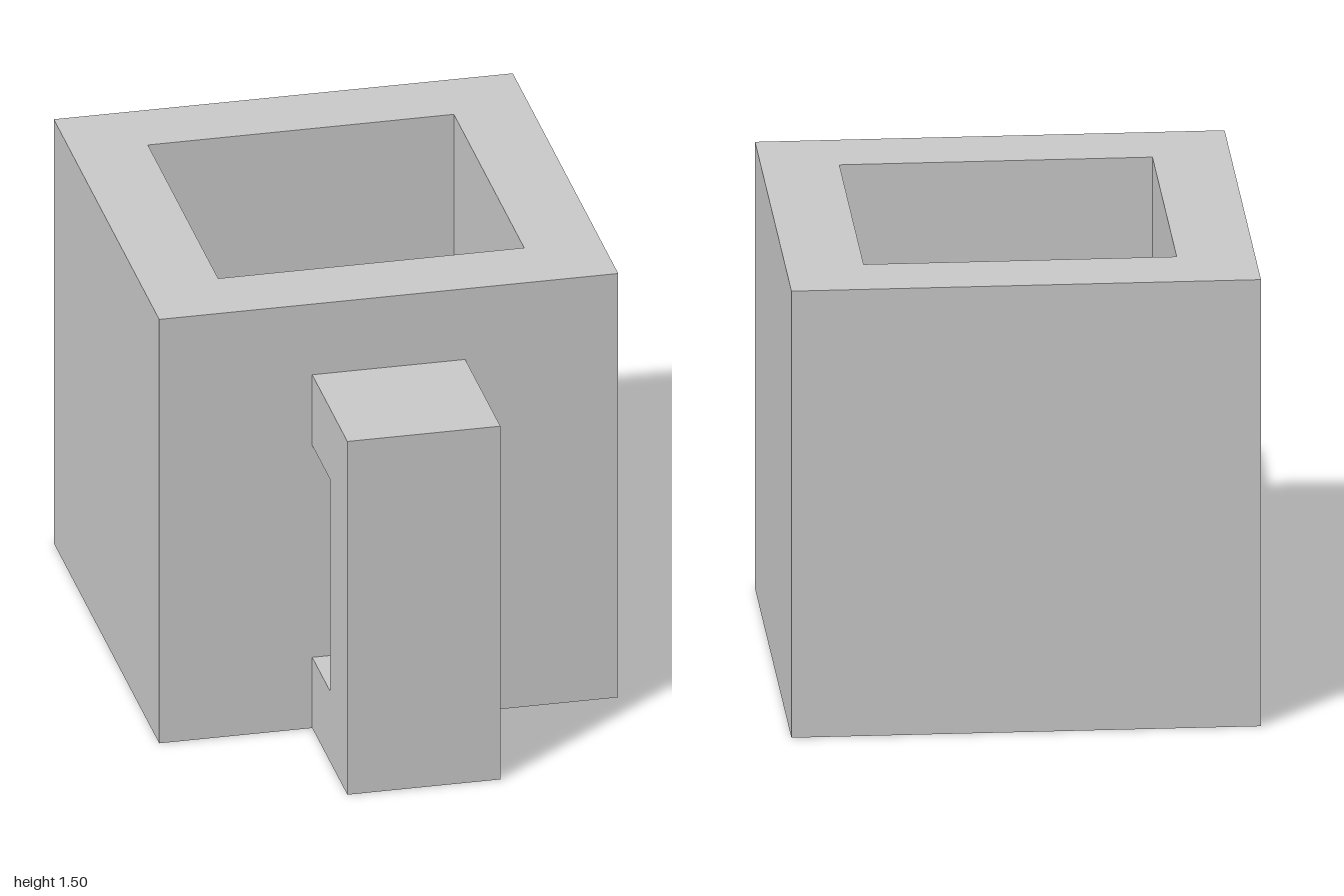
import * as THREE from 'three';

const clay = new THREE.MeshStandardMaterial({ color: 0xcacaca });
clay.name = 'light grey clay';
const blue = new THREE.MeshStandardMaterial({ color: 0x465a82 });
blue.name = 'blue liquid';

const points = (list) => list.map(([x, y]) => new THREE.Vector2(x, y));

function add(group, name, geometry, material) {
  const mesh = new THREE.Mesh(geometry, material);
  mesh.name = name;
  group.add(mesh);
  return mesh;
}

export function createModel() {
  const mug = new THREE.Group();
  mug.name = 'mug';

  // Square walls around an open well, drawn in plan and extruded upwards
  const plan = new THREE.Shape(points([[-0.75, -0.5], [0.75, -0.5], [0.75, 1], [-0.75, 1]]));
  plan.holes.push(new THREE.Path(points([[-0.5, -0.25], [-0.5, 0.75], [0.5, 0.75], [0.5, -0.25]])));
  const walls = new THREE.ExtrudeGeometry(plan, { depth: 1.5, bevelEnabled: false });
  walls.rotateX(-Math.PI / 2);
  add(mug, 'walls', walls, clay);

  // Floor closing the well
  add(mug, 'floor', new THREE.BoxGeometry(1, 0.25, 1), clay).position.set(0, 0.125, -0.25);

  // Drink resting on the floor
  add(mug, 'liquid', new THREE.BoxGeometry(1, 0.5, 1), blue).position.set(0, 0.5, -0.25);

  // C-shaped handle: side profile (z, y) extruded across x
  const profile = new THREE.Shape(points([
    [0.5, 0], [1, 0], [1, 1.25], [0.5, 1.25], [0.5, 1], [0.75, 1], [0.75, 0.25], [0.5, 0.25],
  ]));
  const handle = new THREE.ExtrudeGeometry(profile, { depth: 0.5, bevelEnabled: false });
  handle.translate(0, 0, -0.25).rotateY(-Math.PI / 2);
  add(mug, 'handle', handle, clay);

  return mug;
}
